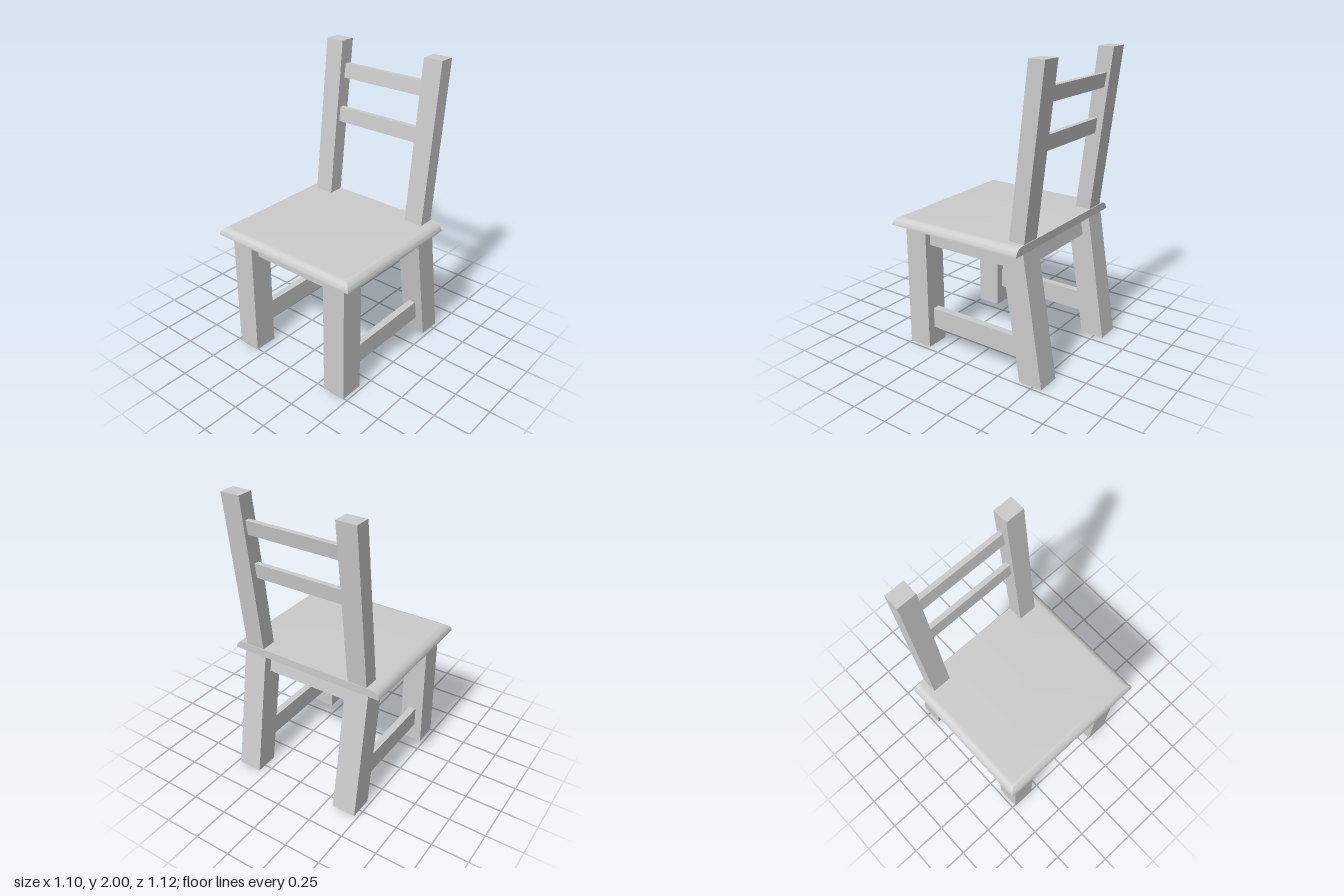
import * as THREE from 'three';
import { toCreasedNormals } from 'three/addons/utils/BufferGeometryUtils.js';

const material = new THREE.MeshStandardMaterial({ color: 0xcccccc });

// Straight timber from x0 to x1; its side outline has a [back, front] z pair at each height, so it may lean.
function timber(name, [x0, x1], [y0, y1], low, high = low) {
  const outline = new THREE.Shape([
    new THREE.Vector2(-low[1], y0), new THREE.Vector2(-low[0], y0),
    new THREE.Vector2(-high[0], y1), new THREE.Vector2(-high[1], y1),
  ]);
  const geometry = new THREE.ExtrudeGeometry(outline, { depth: x1 - x0, bevelEnabled: false });
  geometry.rotateY(Math.PI / 2).translate(x0, 0, 0);
  const mesh = new THREE.Mesh(geometry, material);
  mesh.name = name;
  return mesh;
}

// Seat board: stacked rectangles, rounded over at front and sides, cut flat at the back.
function seatBoard() {
  const steps = 10, round = 0.06, y0 = 0.865, thick = 0.055, back = -0.425;
  const positions = [], index = [];
  for (let i = 0; i <= steps; i++) {
    const a = (i / steps) * Math.PI / 2;
    const inset = round * (1 - Math.cos(a));
    const y = y0 + thick * Math.sin(a), x = 0.55 - inset, front = 0.56 - inset;
    positions.push(-x, y, front, x, y, front, x, y, back, -x, y, back);
  }
  for (let i = 0; i < steps; i++) {
    for (let j = 0; j < 4; j++) {
      const a = i * 4 + j, b = i * 4 + (j + 1) % 4;
      index.push(a, b, b + 4, a, b + 4, a + 4);
    }
  }
  const t = steps * 4;
  index.push(t, t + 1, t + 2, t, t + 2, t + 3); // top
  index.push(0, 2, 1, 0, 3, 2); // underside
  const geometry = new THREE.BufferGeometry();
  geometry.setAttribute('position', new THREE.Float32BufferAttribute(positions, 3));
  geometry.setIndex(index);
  const mesh = new THREE.Mesh(toCreasedNormals(geometry, Math.PI / 7), material);
  mesh.name = 'seat';
  return mesh;
}

export function createModel() {
  const chair = new THREE.Group();
  chair.name = 'chair';
  chair.add(seatBoard());

  // Legs, back posts and side rails, mirrored left and right
  for (const side of [1, -1]) {
    const label = side > 0 ? 'left' : 'right';
    const span = (inner, outer) => (side > 0 ? [inner, outer] : [-outer, -inner]);
    chair.add(
      timber(label + 'FrontLeg', span(0.31, 0.475), [0, 0.865], [0.34, 0.505]),
      timber(label + 'BackLeg', span(0.31, 0.475), [0, 0.865], [-0.563, -0.4], [-0.423, -0.26]),
      timber(label + 'BackPost', span(0.325, 0.46), [0.92, 2], [-0.42, -0.312], [-0.546, -0.438]),
      timber(label + 'Apron', span(0.38, 0.432), [0.735, 0.865], [-0.3, 0.34], [-0.28, 0.34]),
      timber(label + 'Stretcher', span(0.37, 0.42), [0.13, 0.27], [-0.4, 0.34], [-0.38, 0.34]),
    );
  }

  // Cross rails under the seat
  chair.add(
    timber('frontApron', [-0.31, 0.31], [0.735, 0.865], [0.395, 0.445]),
    timber('backApron', [-0.31, 0.31], [0.735, 0.865], [-0.38, -0.33], [-0.36, -0.31]),
  );

  // Back slats, leaning with the posts
  chair.add(
    timber('upperSlat', [-0.325, 0.325], [1.745, 1.84], [-0.49, -0.455], [-0.506, -0.471]),
    timber('lowerSlat', [-0.325, 0.325], [1.445, 1.545], [-0.438, -0.403], [-0.45, -0.415]),
  );
  return chair;
}
